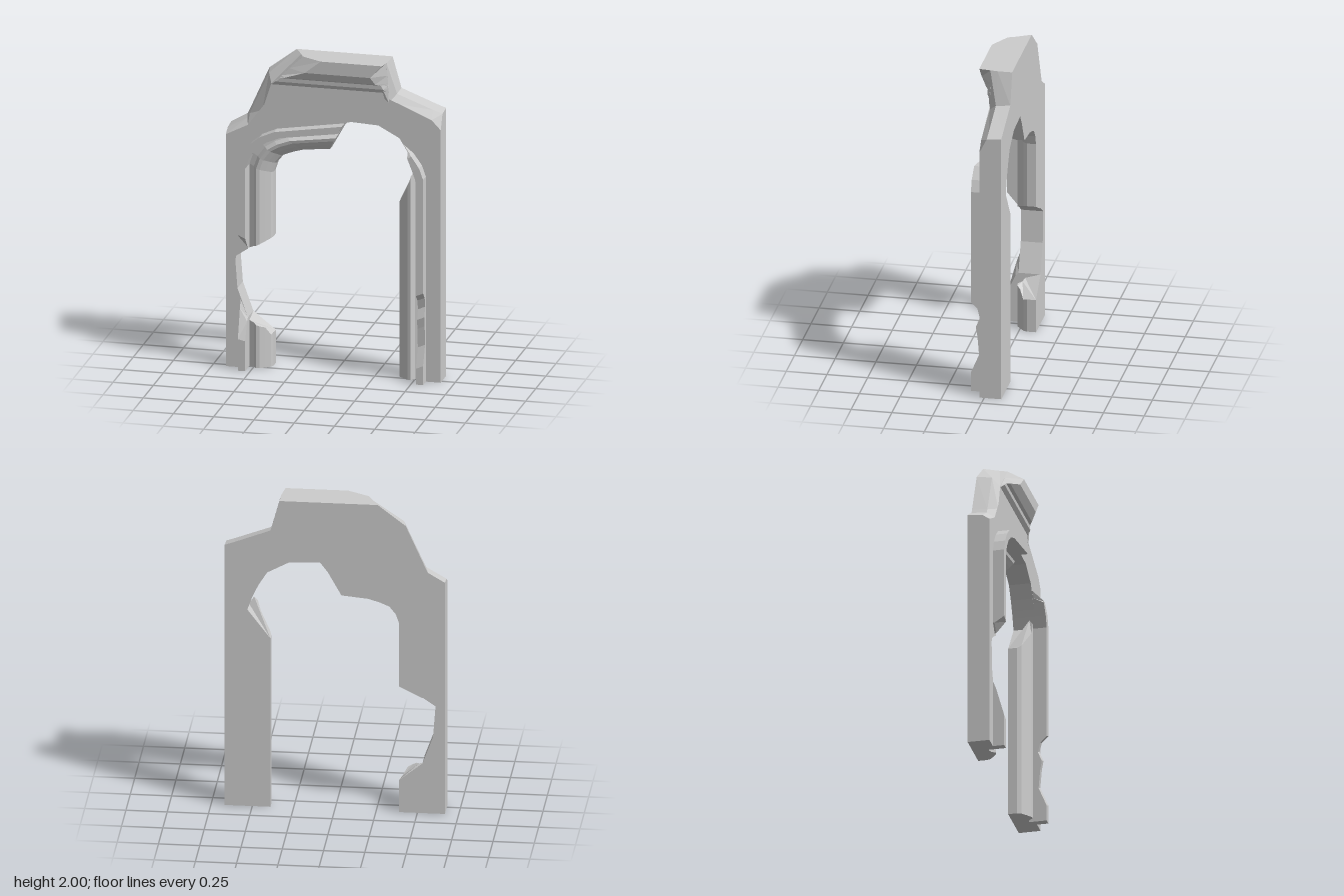
import * as THREE from 'three';

const V = (x, y, z) => new THREE.Vector3(x, y, z);
const material = new THREE.MeshStandardMaterial({ color: 0xcccccc, flatShading: true });

// Closed faceted solid through a series of rings; flat is the 2D outline used to fill the ends
function loft(name, rings, flat) {
  const tris = [];
  const n = rings[0].length;
  for (let k = 0; k + 1 < rings.length; k++) {
    const a = rings[k], b = rings[k + 1];
    for (let i = 0; i < n; i++) {
      const j = (i + 1) % n;
      tris.push([a[i], a[j], b[j]], [a[i], b[j], b[i]]);
    }
  }
  const pts = flat.map(([x, y]) => new THREE.Vector2(x, y));
  const sign = Math.sign(THREE.ShapeUtils.area(pts));
  const first = rings[0], last = rings[rings.length - 1];
  for (const t of THREE.ShapeUtils.triangulateShape(pts, [])) {
    const s = Math.sign(THREE.ShapeUtils.area(t.map(i => pts[i])));
    const [a, b, c] = s === sign ? t : [t[0], t[2], t[1]];
    tris.push([last[a], last[b], last[c]], [first[a], first[c], first[b]]);
  }
  // turn the surface outward
  const volume = tris.reduce((v, [a, b, c]) => v + a.dot(V(0, 0, 0).crossVectors(b, c)), 0);
  const corners = tris.flatMap(([a, b, c]) => (volume > 0 ? [a, b, c] : [a, c, b]));
  const geometry = new THREE.BufferGeometry().setFromPoints(corners);
  geometry.computeVertexNormals();
  const mesh = new THREE.Mesh(geometry, material);
  mesh.name = name;
  return mesh;
}

// Piecewise linear curve through [x, y] pairs
function curve(points, x) {
  for (let i = 1; i < points.length; i++) {
    const [x0, y0] = points[i - 1], [x1, y1] = points[i];
    if (x <= x1) return y0 + (y1 - y0) * (x - x0) / (x1 - x0);
  }
  return points[points.length - 1][1];
}

// Arch curve at the opening edge (d = 0.39) and at the rim's outer edge (d = 0.575)
const INNER = [[0.39, 1.23], [0.37, 1.29], [0.33, 1.34], [0.27, 1.365], [0.2, 1.385], [0.04, 1.4]];
const OUTER = [[0.575, 1.3], [0.55, 1.37], [0.5, 1.44], [0.44, 1.49], [0.35, 1.53], [-0.07, 1.597]];
function lane(k, d) {
  const t = (d - 0.39) / 0.185;
  return [0, 1].map(c => INNER[k][c] + (OUTER[k][c] - INNER[k][c]) * t);
}

// Moulding cross-section: distance from the centre, depth
const MOULD = [[0.53, -0.105], [0.39, -0.105], [0.39, -0.05], [0.4, -0.025], [0.43, 0],
  [0.46, 0.022], [0.48, 0.026], [0.5, 0], [0.53, -0.01]];
const mouldRow = (side, y) => MOULD.map(([d, z]) => V(side * d, y(d, z), z));
const mouldArch = (side, k) => MOULD.map(([d, z]) => {
  const [x, y] = lane(k, d);
  return V(side * x, y, z);
});

// Raised rim cross-section with height h
const rimShape = h => [[0.575, 0.03], [0.575, h], [0.53, h], [0.53, 0.03]];
const rimRow = (side, yOut, yIn, h) =>
  rimShape(h).map(([d, z], i) => V(side * d, i < 2 ? yOut : yIn, z));
const rimArch = (side, k, h) => rimShape(h).map(([d, z]) => {
  const [x, y] = lane(k, d);
  return V(side * x, y, z);
});

export function createModel() {
  const group = new THREE.Group();
  group.name = 'ruinedArch';
  const stations = [0, 1, 2, 3, 4, 5];

  // Wall slab: outer outline at back, middle and bevelled front
  const back = [[0.667, 0], [0.667, 1.7], [0.61, 1.72], [0.39, 1.805], [0.335, 2], [-0.26, 2],
    [-0.43, 1.87], [-0.55, 1.6], [-0.565, 1.57], [-0.667, 1.51], [-0.667, 0]];
  const middle = [[0.667, 0], [0.667, 1.69], [0.61, 1.71], [0.385, 1.795], [0.335, 2], [-0.21, 2],
    [-0.41, 1.865], [-0.53, 1.6], [-0.545, 1.57], [-0.667, 1.5], [-0.667, 0]];
  const front = [[0.667, 0], [0.667, 1.6], [0.61, 1.66], [0.345, 1.75], [0.33, 2], [-0.19, 2],
    [-0.385, 1.815], [-0.44, 1.64], [-0.53, 1.54], [-0.667, 1.47], [-0.667, 0]];
  const opening = [[-0.53, 0], [-0.53, 0.32], [-0.595, 0.5], [-0.61, 0.7], [-0.53, 0.755],
    ...stations.map(k => lane(k, 0.53)).map(([x, y]) => [-x, y]),
    [0.09, 1.61], [0.28, 1.6], [0.41, 1.53], [0.46, 1.45], [0.49, 1.39],
    lane(1, 0.53), lane(0, 0.53), [0.53, 0]];
  const slabRing = (outline, z) => [...outline, ...opening].map(([x, y]) => V(x, y, z));
  group.add(loft('wall',
    [slabRing(back, -0.105), slabRing(middle, -0.015), slabRing(front, 0.03)],
    [...back, ...opening]));

  // Crown block with stepped underside: y, rear left, front left, front right, rear right, depth
  const crown = [
    [1.81, -0.385, -0.38, 0.335, 0.345, 0.032],
    [1.835, -0.36, -0.355, 0.315, 0.343, 0.05],
    [1.86, -0.335, -0.32, 0.3, 0.341, 0.052],
    [1.87, -0.325, -0.29, 0.27, 0.34, 0.07],
    [1.92, -0.275, -0.16, 0.245, 0.336, 0.1],
    [2, -0.19, -0.06, 0.32, 0.33, 0.1]];
  const crownRings = crown.map(([y, bl, fl, fr, br, z]) =>
    [V(bl, y, 0.029), V(fl, y, z), V(fr, y, z), V(br, y, 0.029)]);
  group.add(loft('crown', crownRings, crownRings[5].map(p => [p.x, p.z])));
  // Chipped corner under the crown
  const chip = [V(0.36, 1.79, 0), V(0.345, 1.75, 0.031), V(0.32, 1.77, 0.031)];
  group.add(loft('crownCorner',
    [chip, [V(0.34, 1.86, 0), V(0.341, 1.86, 0.031), V(0.3, 1.86, 0.05)]],
    [[0.36, 0], [0.345, 0.031], [0.32, 0.04]]));

  // Mouldings lining the opening, with broken ends
  const stump = [[0.39, 0.21], [0.42, 0.28], [0.53, 0.32]];
  const overhang = [[0.39, 0.82], [0.46, 0.785], [0.53, 0.75]];
  const jamb = [[0.39, 1.1], [0.46, 1.22], [0.48, 1.29], [0.49, 1.34], [0.53, 1.283]];
  const ground = () => 0;
  group.add(loft('stumpMoulding',
    [mouldRow(-1, ground), mouldRow(-1, (d, z) => curve(stump, d) - (z > -0.04 ? 0.03 : 0))], MOULD));
  group.add(loft('archMoulding',
    [mouldRow(-1, d => curve(overhang, d)), ...stations.map(k => mouldArch(-1, k))], MOULD));
  group.add(loft('jambMoulding',
    [mouldRow(1, ground), mouldRow(1, d => curve(jamb, d))], MOULD));

  // Raised rims; the jamb rim is chipped low down
  const rim = rimShape(0.1);
  group.add(loft('stumpRim',
    [rimRow(-1, 0, 0, 0.1), rimRow(-1, 0.2, 0.19, 0.1), rimRow(-1, 0.38, 0.3, 0.05),
      rimRow(-1, 0.43, 0.32, 0.031)], rim));
  group.add(loft('archRim',
    [rimRow(-1, 0.82, 0.77, 0.04), rimRow(-1, 0.86, 0.84, 0.1),
      ...stations.map(k => rimArch(-1, k, 0.1))], rim));
  const chips = [[0, 0.1], [0.12, 0.1], [0.24, 0.05], [0.36, 0.06], [0.42, 0.07], [0.48, 0.045],
    [0.54, 0.06], [0.58, 0.1]];
  const brokenEnd = [V(0.44, 1.49, 0.03), V(0.44, 1.49, 0.035), V(0.462, 1.452, 0.035), V(0.462, 1.452, 0.03)];
  group.add(loft('jambRim',
    [...chips.map(([y, h]) => rimRow(1, y, y - (y > 0 ? 0.02 : 0), h)),
      rimArch(1, 0, 0.1), rimArch(1, 1, 0.1),
      [V(0.5, 1.44, 0.03), V(0.5, 1.44, 0.095), V(0.475, 1.425, 0.095), V(0.475, 1.425, 0.03)],
      brokenEnd], rim));

  return group;
}
